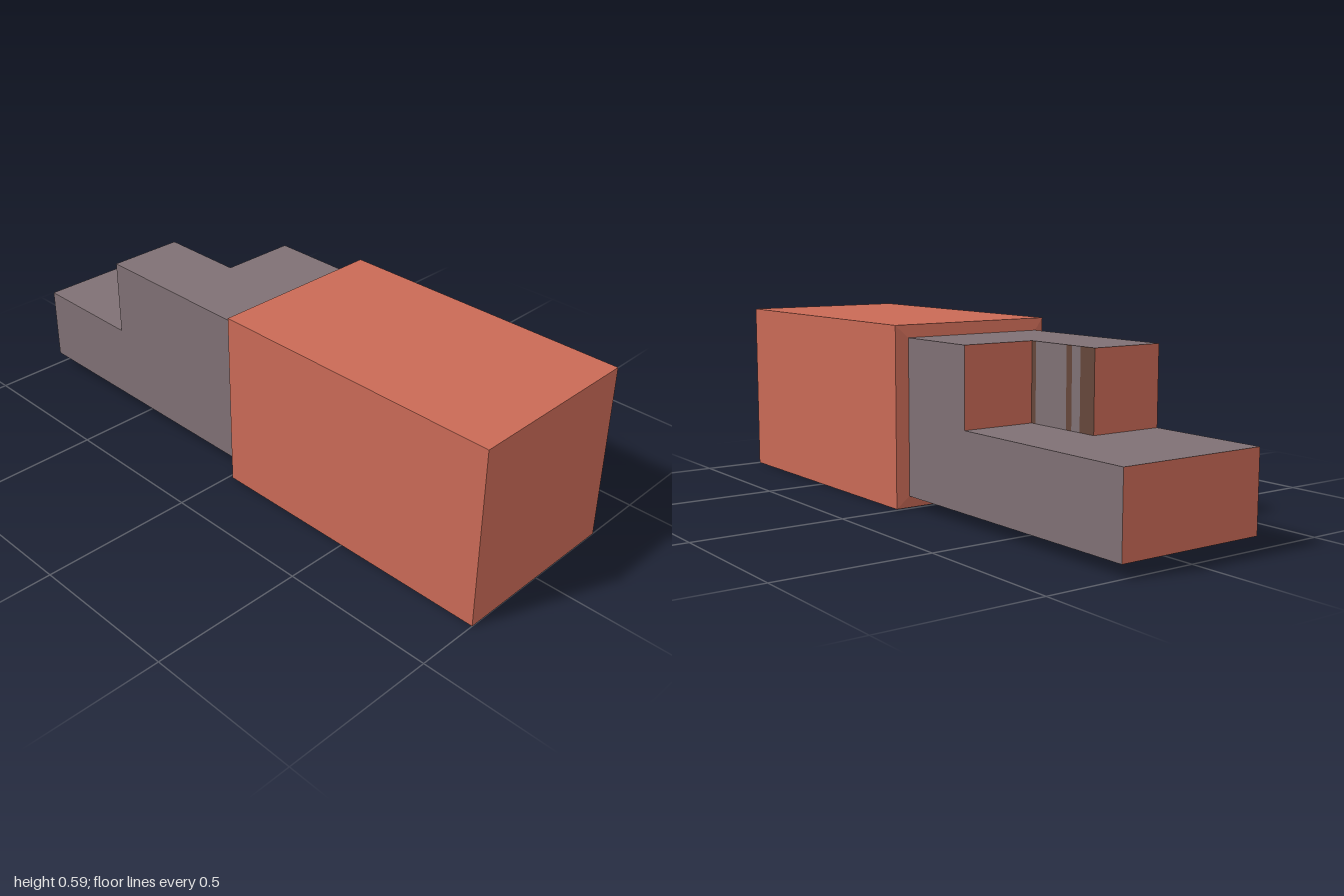
import * as THREE from 'three';

const paint = (name, color) => {
  const m = new THREE.MeshStandardMaterial({ color });
  m.name = name;
  return m;
};

export function createModel() {
  const red = paint('red', 0xc96a56);
  const grey = paint('grey', 0x7f7074);
  const brown = paint('brown', 0x65463a);
  const model = new THREE.Group();
  model.name = 'notchedBlock';

  // Square handle with a thin chamfer where it meets the shank
  const R = Math.SQRT2;
  const profile = [[0.253, 0], [0.294, 0.012], [0.294, 1], [0, 1]]
    .map(([r, z]) => new THREE.Vector2(r * R, z));
  let geo = new THREE.LatheGeometry(profile, 4).toNonIndexed();
  geo.rotateY(Math.PI / 4).rotateX(Math.PI / 2);
  geo.computeVertexNormals();
  const handle = new THREE.Mesh(geo, red);
  handle.name = 'handle';
  handle.position.y = 0.294;
  model.add(handle);

  // Rectangular face from a corner and two edge vectors; it faces along u x v
  const face = (parent, name, mat, [x, y, z], u, v) => {
    const g = new THREE.BufferGeometry();
    const a = [x, y, z], b = a.map((n, i) => n + u[i]);
    const c = b.map((n, i) => n + v[i]), d = a.map((n, i) => n + v[i]);
    g.setAttribute('position', new THREE.Float32BufferAttribute([a, b, c, a, c, d].flat(), 3));
    g.computeVertexNormals();
    const mesh = new THREE.Mesh(g, mat);
    mesh.name = name;
    parent.add(mesh);
  };

  // Shank: a long lower half, with a stepped upper half
  const shank = new THREE.Group();
  shank.name = 'shank';
  model.add(shank);
  const W = 0.253, low = 0.04, mid = 0.293, top = 0.548;
  const end = -1, longEnd = -0.596, shortEnd = -0.305;
  const f = (...args) => face(shank, ...args);
  const lowH = mid - low, topH = top - mid;

  // Lower half
  f('underside', grey, [-W, low, end], [2 * W, 0, 0], [0, 0, -end]);
  f('lowerLeftSide', grey, [W, low, 0], [0, 0, end], [0, lowH, 0]);
  f('lowerRightSide', grey, [-W, low, end], [0, 0, -end], [0, lowH, 0]);
  f('lowerEnd', red, [W, low, end], [-2 * W, 0, 0], [0, lowH, 0]);
  f('ledge', grey, [-W, mid, longEnd], [2 * W, 0, 0], [0, 0, end - longEnd]);
  f('notchFloor', grey, [0, mid, shortEnd], [W, 0, 0], [0, 0, longEnd - shortEnd]);

  // Upper half, short on the left and long on the right
  f('shortTop', grey, [0, top, 0], [W, 0, 0], [0, 0, shortEnd]);
  f('longTop', grey, [-W, top, 0], [W, 0, 0], [0, 0, longEnd]);
  f('upperLeftSide', grey, [W, mid, 0], [0, 0, shortEnd], [0, topH, 0]);
  f('upperRightSide', grey, [-W, mid, longEnd], [0, 0, -longEnd], [0, topH, 0]);
  f('shortEnd', red, [W, mid, shortEnd], [-W, 0, 0], [0, topH, 0]);
  f('longEnd', red, [0, mid, longEnd], [-W, 0, 0], [0, topH, 0]);

  // Notch wall, striped grey and brown
  const stops = [shortEnd, -0.325, -0.47, -0.495, -0.533, longEnd];
  for (let i = 0; i < stops.length - 1; i++) {
    f('notchStripe', i % 2 ? grey : brown, [0, mid, stops[i]],
      [0, 0, stops[i + 1] - stops[i]], [0, topH, 0]);
  }
  return model;
}
